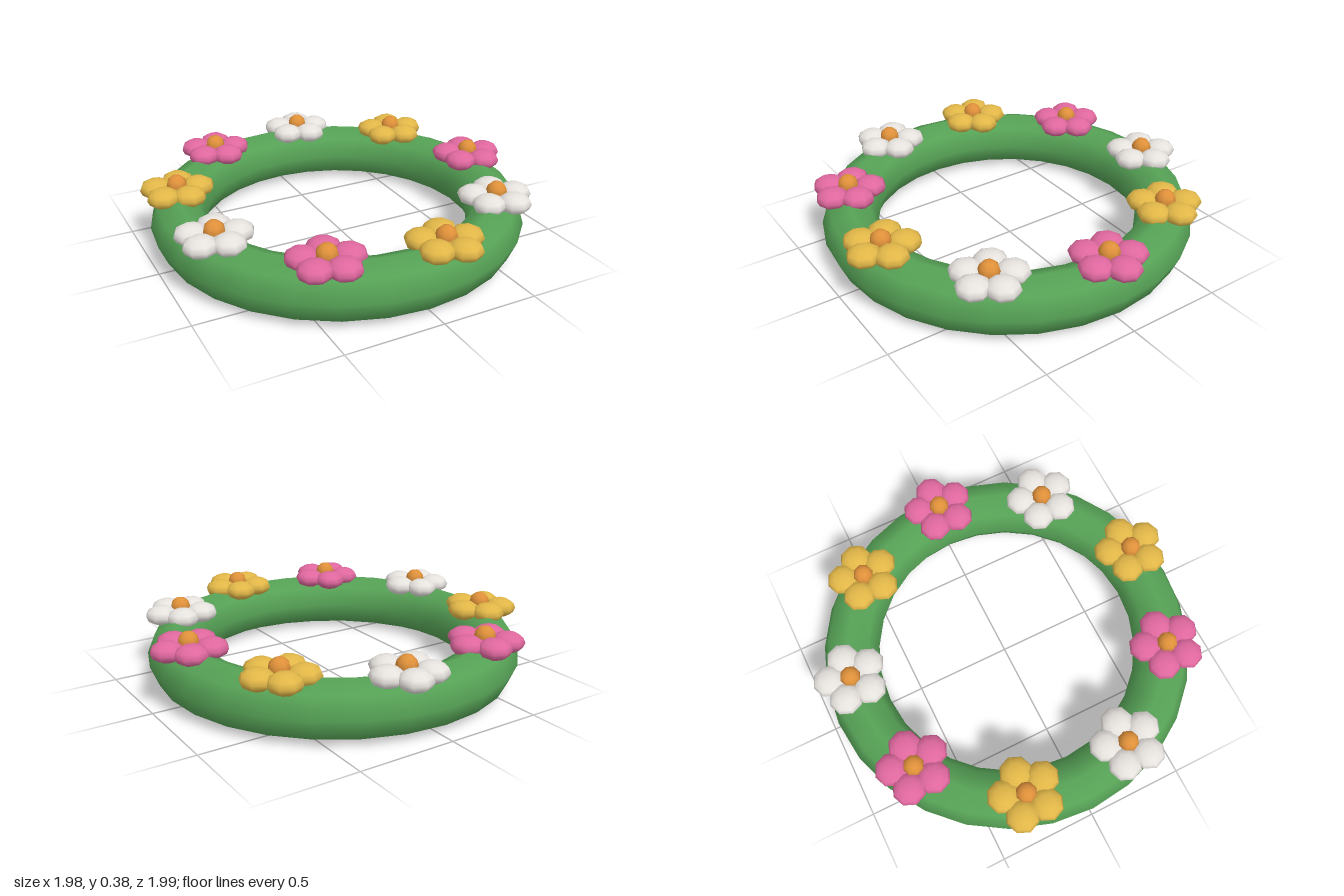
import * as THREE from 'three';

const paint = (name, color) => {
  const m = new THREE.MeshStandardMaterial({ color });
  m.name = name;
  return m;
};

export function createModel() {
  const model = new THREE.Group();
  model.name = 'flowerWreath';

  const green = paint('leafGreen', 0x56a256);
  const orange = paint('centreOrange', 0xe0913a);
  const petalColours = [
    paint('petalPink', 0xe0689f),
    paint('petalWhite', 0xe6e2de),
    paint('petalYellow', 0xe2b748),
  ];

  const ringRadius = 0.82, tube = 0.145, offsetX = -0.025;

  // Green ring lying flat on the ground
  const ringGeo = new THREE.TorusGeometry(ringRadius, tube, 8, 28);
  ringGeo.rotateX(Math.PI / 2);
  const ring = new THREE.Mesh(ringGeo, green);
  ring.name = 'ring';
  ring.position.set(offsetX, tube, 0);
  model.add(ring);

  // Shared flower parts: flattened petal and round centre
  const petalGeo = new THREE.SphereGeometry(0.085, 8, 6);
  petalGeo.scale(1, 0.6, 1);
  const centreGeo = new THREE.SphereGeometry(0.053, 8, 6);

  function makeFlower(material) {
    const flower = new THREE.Group();
    for (let i = 0; i < 5; i++) {
      const a = (i / 5) * Math.PI * 2;
      const petal = new THREE.Mesh(petalGeo, material);
      petal.name = 'petal';
      petal.position.set(Math.cos(a) * 0.11, 0, Math.sin(a) * 0.11);
      flower.add(petal);
    }
    const centre = new THREE.Mesh(centreGeo, orange);
    centre.name = 'flowerCentre';
    centre.position.y = 0.028;
    flower.add(centre);
    return flower;
  }

  // Nine flowers around the top of the ring, in three alternating colours
  for (let i = 0; i < 9; i++) {
    const a = (i / 9) * Math.PI * 2;
    const flower = makeFlower(petalColours[i % 3]);
    flower.name = 'flower' + (i + 1);
    flower.position.set(offsetX + Math.cos(a) * ringRadius, 0.295, Math.sin(a) * ringRadius);
    model.add(flower);
  }

  return model;
}
